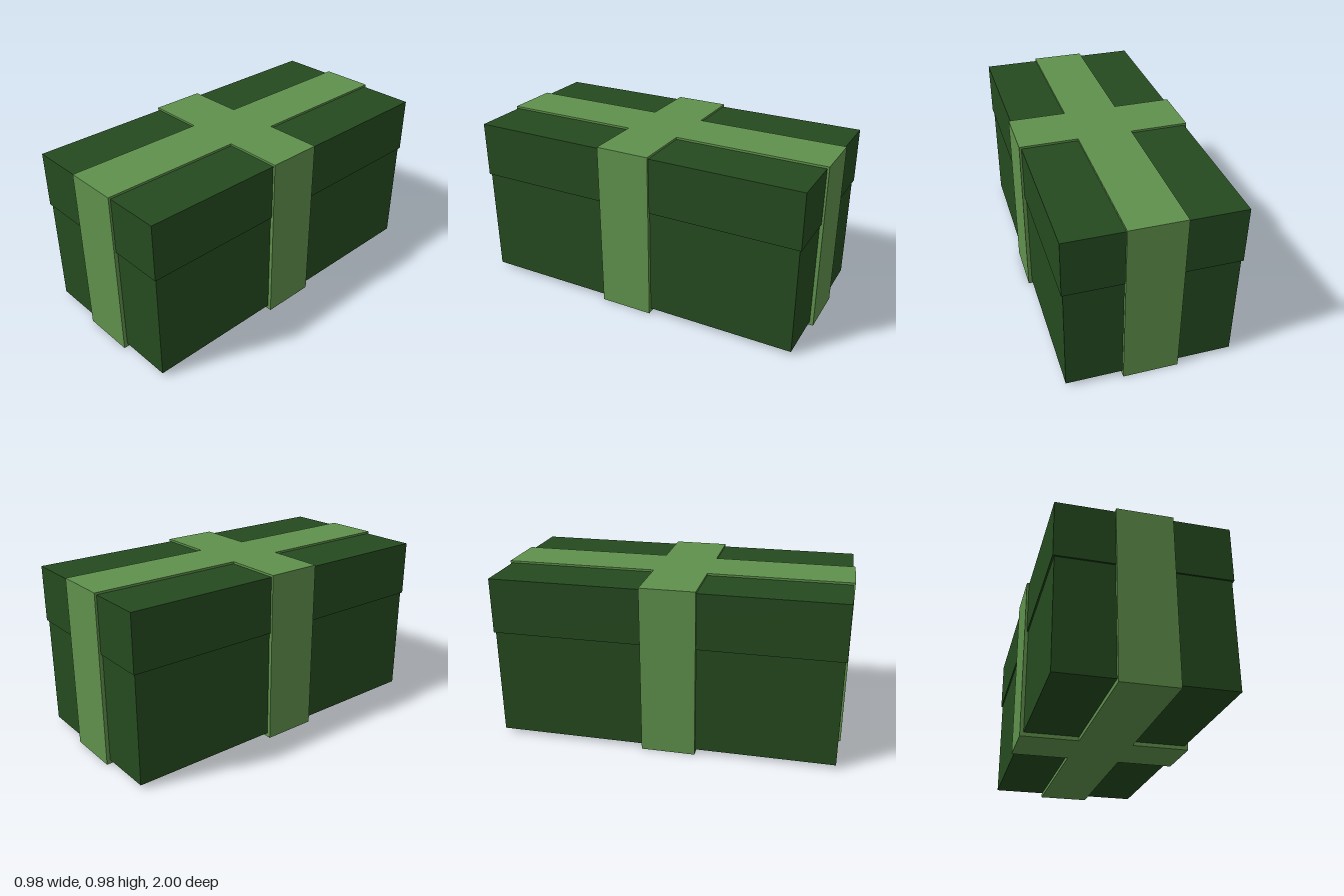
import * as THREE from 'three';

const darkGreen = new THREE.MeshStandardMaterial({ color: 0x254a1f });
const lightGreen = new THREE.MeshStandardMaterial({ color: 0x5f914c });

// Box standing between two heights
function block(name, width, depth, bottom, top) {
  const mesh = new THREE.Mesh(new THREE.BoxGeometry(width, top - bottom, depth), darkGreen);
  mesh.position.y = (bottom + top) / 2;
  mesh.name = name;
  return mesh;
}

// Plus-shaped prism: one ribbon along z and one across x, wrapped round the box
function ribbon() {
  const halfWidth = 0.155, sideX = 0.488, endZ = 1, crossBack = -0.124, crossFront = 0.187;
  const outline = [
    [-halfWidth, endZ], [halfWidth, endZ],
    [halfWidth, crossFront], [sideX, crossFront],
    [sideX, crossBack], [halfWidth, crossBack],
    [halfWidth, -endZ], [-halfWidth, -endZ],
    [-halfWidth, crossBack], [-sideX, crossBack],
    [-sideX, crossFront], [-halfWidth, crossFront],
  ];
  const shape = new THREE.Shape(outline.map(([x, z]) => new THREE.Vector2(x, -z)));
  const geometry = new THREE.ExtrudeGeometry(shape, { depth: 0.979, bevelEnabled: false });
  geometry.rotateX(-Math.PI / 2);
  const mesh = new THREE.Mesh(geometry, lightGreen);
  mesh.name = 'ribbon';
  return mesh;
}

export function createModel() {
  const group = new THREE.Group();
  group.name = 'giftBox';
  group.add(
    block('boxBody', 0.934, 1.958, 0.023, 0.66),
    block('lid', 0.951, 1.976, 0.647, 0.967),
    ribbon(),
  );
  return group;
}
